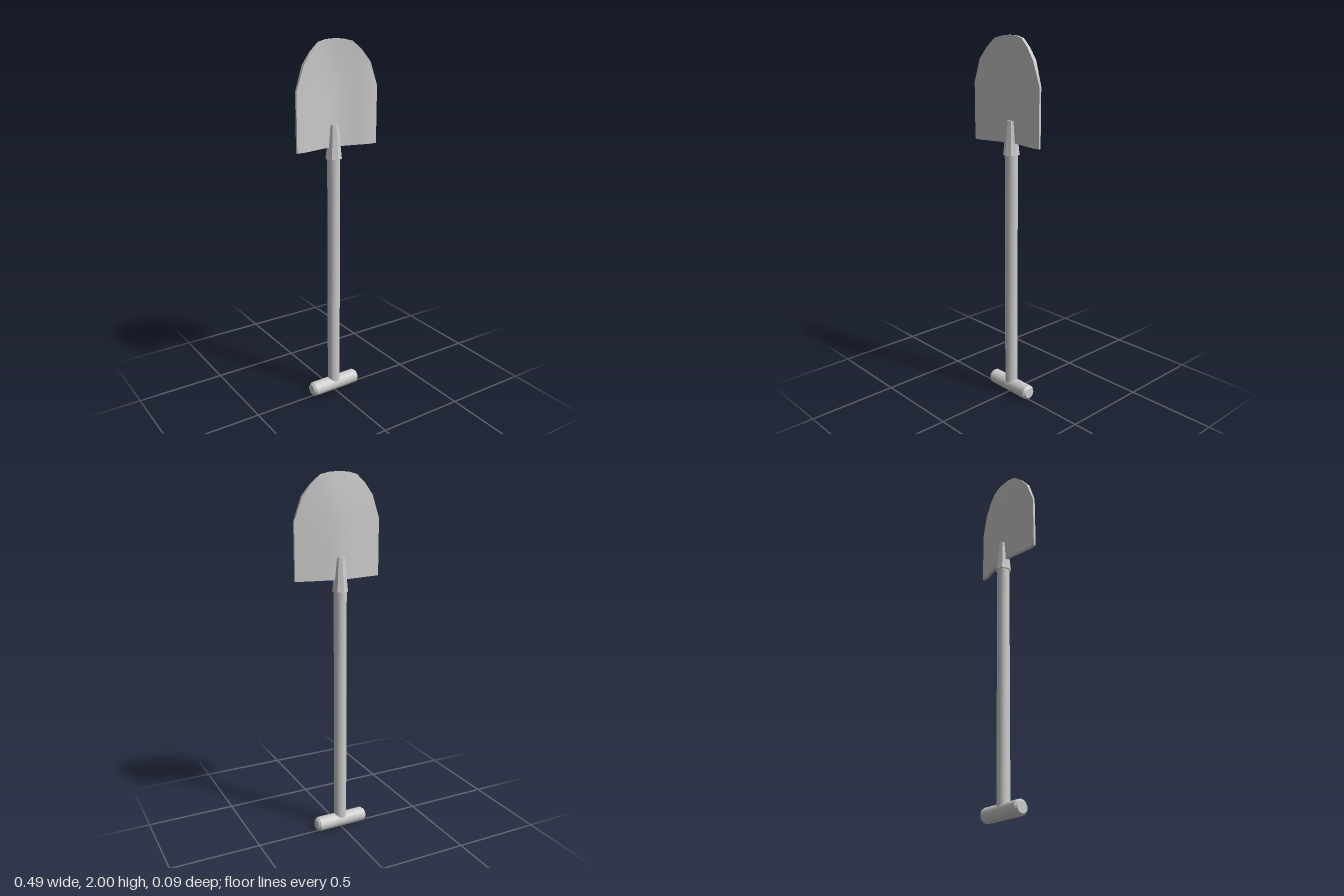
import * as THREE from 'three';
import { toCreasedNormals } from 'three/addons/utils/BufferGeometryUtils.js';

const V = (r, y) => new THREE.Vector2(r, y);

export function createModel() {
  const group = new THREE.Group();
  const material = new THREE.MeshStandardMaterial({ color: 0xcccccc });
  const add = (name, geometry, crease) => {
    const mesh = new THREE.Mesh(toCreasedNormals(geometry, crease), material);
    mesh.name = name;
    group.add(mesh);
    return mesh;
  };

  // Shaft
  const shaft = new THREE.CylinderGeometry(0.035, 0.035, 1.38, 16);
  shaft.translate(0, 0.73, 0);
  add('shaft', shaft, 0.6);

  // Cross grip with bevelled ends
  const grip = new THREE.LatheGeometry(
    [V(0, -0.152), V(0.03, -0.152), V(0.041, -0.138), V(0.041, 0.138), V(0.03, 0.152), V(0, 0.152)], 16);
  grip.rotateZ(Math.PI / 2);
  grip.translate(0, 0.041, 0);
  add('grip', grip, 0.5);

  // Eight-sided tapered socket with a small collar
  const socket = new THREE.LatheGeometry(
    [V(0, 1.388), V(0.045, 1.388), V(0.042, 1.405), V(0.026, 1.568), V(0, 1.568)], 8);
  add('socket', socket, 0.6);

  // Blade: a box whose columns follow the outline and the dished section
  const columnX = [0, 0.05, 0.1, 0.15, 0.2, 0.245];
  const topY = [2, 1.997, 1.985, 1.942, 1.88, 1.757];
  const frontZ = [0.005, 0.008, 0.018, 0.03, 0.041, 0.041];
  const backZ = [-0.01, -0.007, 0.001, 0.01, 0.019, 0.028];
  const blade = new THREE.BoxGeometry(2, 1, 1, 10, 8, 1);
  const p = blade.attributes.position;
  for (let i = 0; i < p.count; i++) {
    const c = Math.round(Math.abs(p.getX(i)) * 5);
    const x = Math.sign(p.getX(i)) * columnX[c];
    const y = 1.45 + (p.getY(i) + 0.5) * (topY[c] - 1.45);
    // The tip curls slightly forward
    const tip = Math.max(0, (y - 1.75) / 0.25) ** 2 * (1 - Math.abs(x) / 0.245);
    const z = (p.getZ(i) > 0 ? frontZ : backZ)[c] + 0.014 * tip;
    p.setXYZ(i, x, y, z);
  }
  add('blade', blade, 0.6);

  return group;
}
